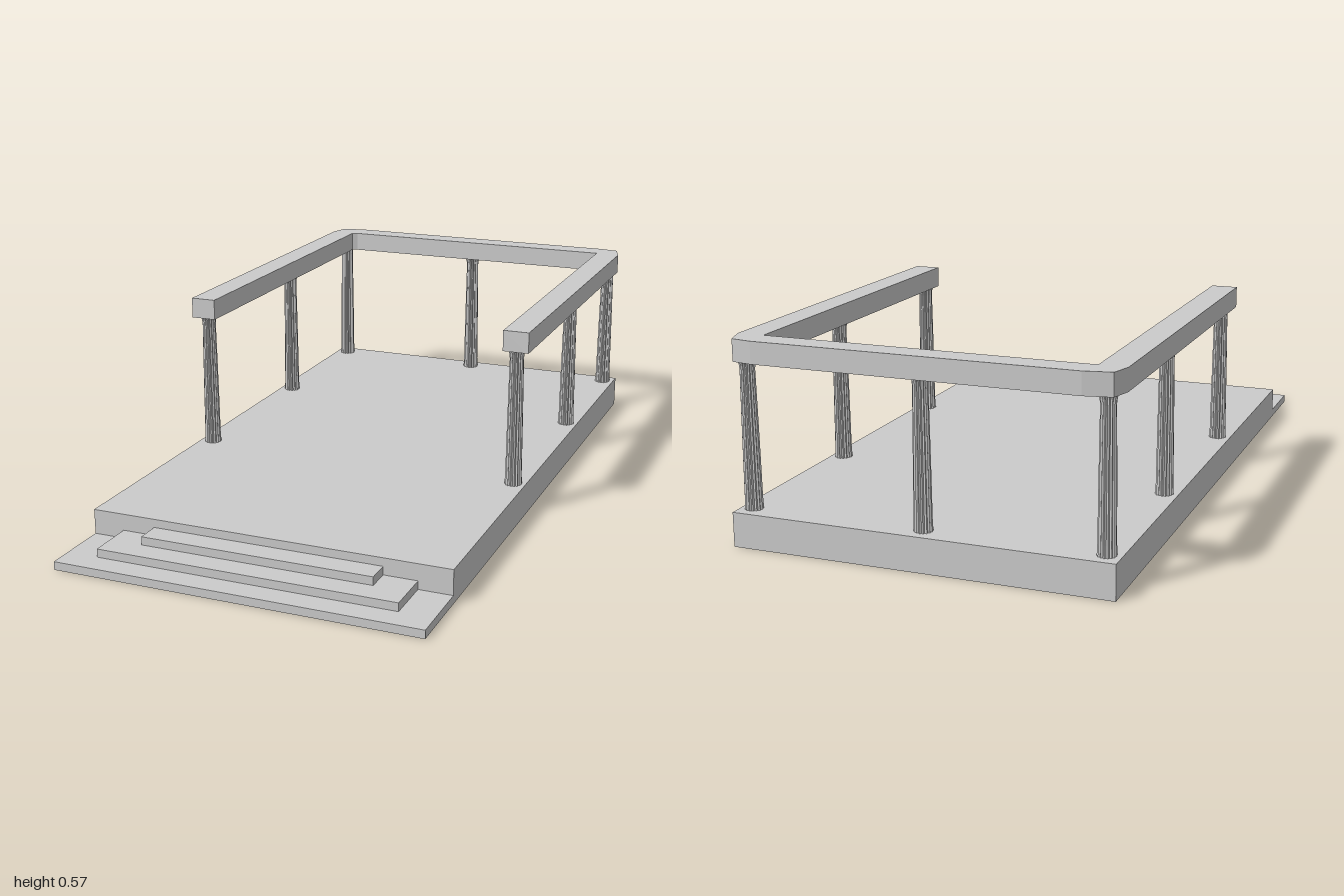
import * as THREE from 'three';

const mat = new THREE.MeshStandardMaterial({ color: 0xcccccc, flatShading: true, side: THREE.DoubleSide });

function add(parent, name, geometry, x = 0, y = 0, z = 0) {
  const mesh = new THREE.Mesh(geometry, mat);
  mesh.name = name;
  mesh.position.set(x, y, z);
  parent.add(mesh);
  return mesh;
}

// Box given by its extents
function addBox(parent, name, [x0, x1], [y0, y1], [z0, z1], openBottom = false) {
  const g = new THREE.BoxGeometry(x1 - x0, y1 - y0, z1 - z0);
  if (openBottom) {
    const idx = Array.from(g.index.array);
    idx.splice(18, 6); // the -y face
    g.setIndex(idx);
  }
  return add(parent, name, g, (x0 + x1) / 2, (y0 + y1) / 2, (z0 + z1) / 2);
}

// Tapered shaft with flared ends; every second side is pulled in to form flutes
function flutedColumn() {
  const profile = [[0.026, 0.098], [0.0245, 0.13], [0.0235, 0.25], [0.022, 0.38], [0.0205, 0.485], [0.022, 0.5], [0.026, 0.512]]
    .map(([r, y]) => new THREE.Vector2(r, y));
  const g = new THREE.LatheGeometry(profile, 32);
  const p = g.attributes.position;
  for (let i = 0; i < p.count; i++) {
    const side = Math.floor(i / profile.length);
    const k = side % 2 ? 0.84 : 1;
    p.setXYZ(i, p.getX(i) * k, p.getY(i), p.getZ(i) * k);
  }
  g.computeVertexNormals();
  return g;
}

export function createModel() {
  const model = new THREE.Group();
  model.name = 'colonnadePlatform';

  // Hollow platform, open underneath
  addBox(model, 'platform', [-0.544, 0.536], [0, 0.098], [-1, 0.79], true);

  // Steps, each narrower and shorter, reaching just inside the platform
  const steps = new THREE.Group();
  steps.name = 'steps';
  model.add(steps);
  [[-0.544, 0.536, 1], [-0.45, 0.438, 0.93], [-0.35, 0.34, 0.86]].forEach(([x0, x1, z1], i) =>
    addBox(steps, 'step', [x0, x1], [i * 0.0245, (i + 1) * 0.0245], [0.775, z1]));

  // Columns: three on each side and one in the middle of the back
  const columns = new THREE.Group();
  columns.name = 'columns';
  model.add(columns);
  const columnGeometry = flutedColumn();
  for (const x of [-0.504, 0.499])
    for (const z of [0.15, -0.445, -0.95]) add(columns, 'column', columnGeometry, x, 0, z);
  add(columns, 'column', columnGeometry, -0.004, 0, -0.95);

  // U-shaped beam with cut outer corners, drawn in plan (x, z)
  const plan = new THREE.Shape([
    [-0.544, 0.182], [-0.544, -0.92], [-0.527, -0.98], [-0.45, -0.995],
    [0.46, -0.995], [0.52, -0.985], [0.541, -0.92], [0.541, 0.178],
    [0.464, 0.178], [0.464, -0.92], [-0.45, -0.92], [-0.467, -0.912], [-0.467, 0.182],
  ].map(([x, z]) => new THREE.Vector2(x, z)));
  const beam = new THREE.ExtrudeGeometry(plan, { depth: 0.062, bevelEnabled: false });
  beam.rotateX(Math.PI / 2);
  add(model, 'beam', beam, 0, 0.573, 0);

  return model;
}
